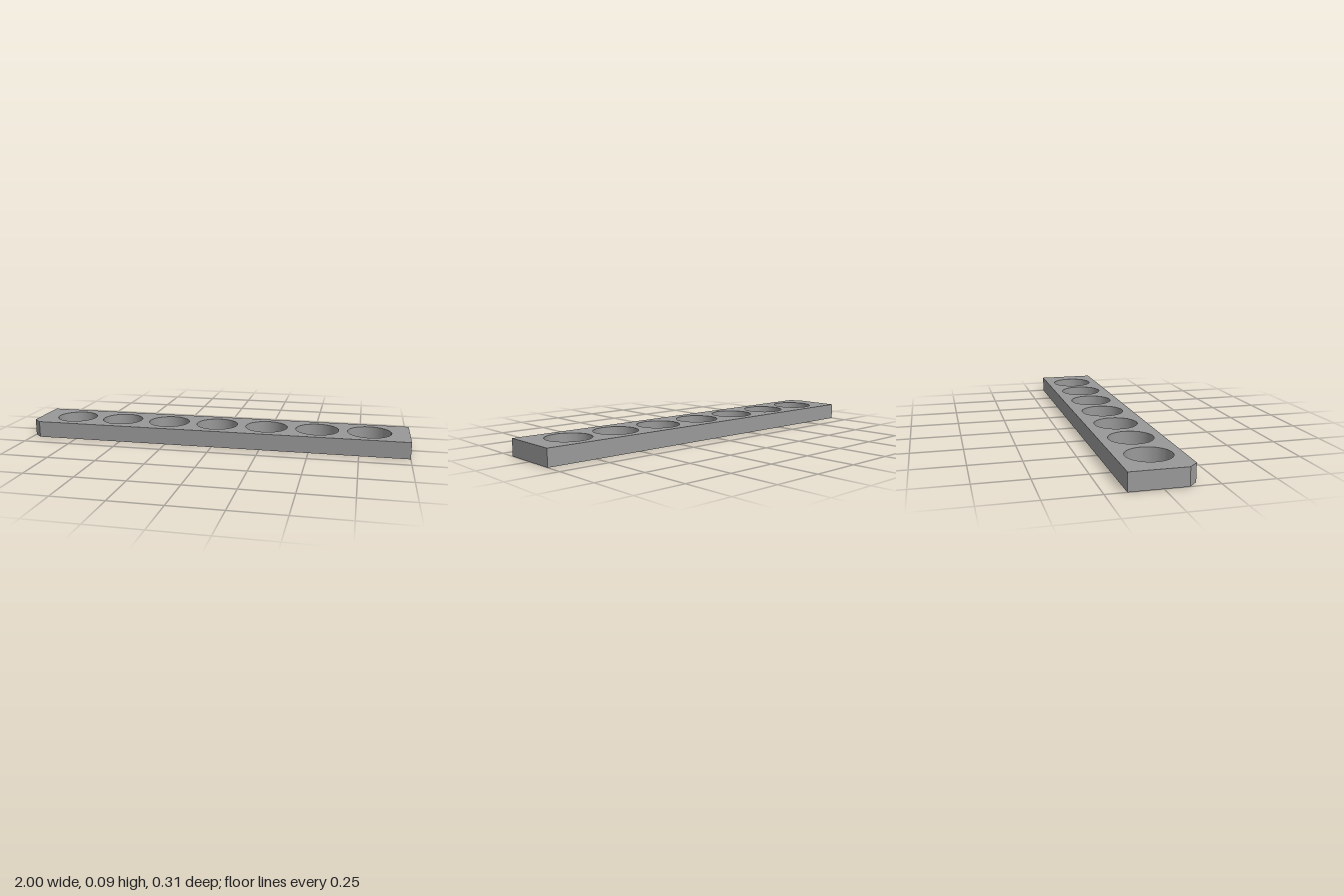
import * as THREE from 'three';
import { toCreasedNormals } from 'three/addons/utils/BufferGeometryUtils.js';

const HALF_LENGTH = 1, HALF_DEPTH = 0.154, HEIGHT = 0.085, CHAMFER = 0.043;
const HOLES = 7, SPACING = 0.266;

export function createModel() {
  const group = new THREE.Group();
  group.name = 'holedBar';
  const grey = new THREE.MeshStandardMaterial({ color: 0x999999 });
  grey.name = 'grey';

  // Bar outline with one front corner cut off
  const outline = new THREE.Shape([
    new THREE.Vector2(-HALF_LENGTH + CHAMFER, -HALF_DEPTH),
    new THREE.Vector2(HALF_LENGTH, -HALF_DEPTH),
    new THREE.Vector2(HALF_LENGTH, HALF_DEPTH),
    new THREE.Vector2(-HALF_LENGTH, HALF_DEPTH),
    new THREE.Vector2(-HALF_LENGTH, -HALF_DEPTH + CHAMFER),
  ]);

  // Row of through holes, growing very slightly along the bar
  for (let i = 0; i < HOLES; i++) {
    const radius = 0.107 + 0.0007 * i;
    const hole = new THREE.Path();
    hole.absarc((i - (HOLES - 1) / 2) * SPACING, 0, radius, 0, Math.PI * 2, true);
    outline.holes.push(hole);
  }

  // Extrude upwards, keeping outer edges sharp and hole walls smooth
  const extruded = new THREE.ExtrudeGeometry(outline, {
    depth: HEIGHT, bevelEnabled: false, curveSegments: 32,
  });
  extruded.rotateX(-Math.PI / 2);
  const bar = new THREE.Mesh(toCreasedNormals(extruded, Math.PI / 6), grey);
  bar.name = 'bar';
  group.add(bar);
  return group;
}
